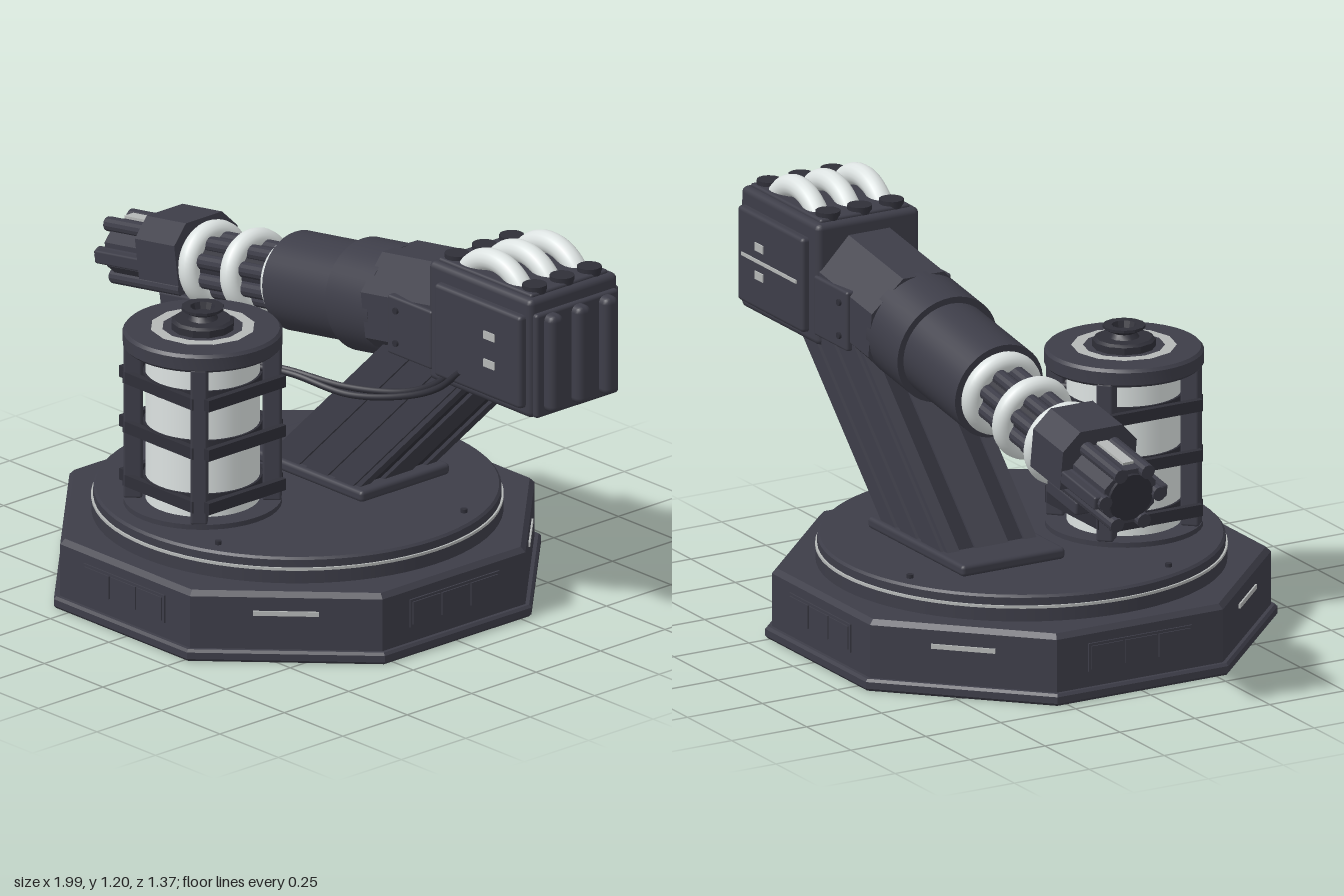
import * as THREE from 'three';
import { toCreasedNormals } from 'three/addons/utils/BufferGeometryUtils.js';
import { RoundedBoxGeometry } from 'three/addons/geometries/RoundedBoxGeometry.js';

const material = (name, color) => {
  const m = new THREE.MeshStandardMaterial({ color });
  m.name = name;
  return m;
};

export function createModel() {
  const steel = material('gunmetal', 0x3d3d48);
  const dark = material('dark metal', 0x2f2f38);
  const white = material('white ceramic', 0xdce2e1);
  const light = material('pale strip', 0xb4b7b6);
  const root = new THREE.Group();
  root.name = 'turret';

  // helpers
  const add = (parent, name, geo, mat, x = 0, y = 0, z = 0) => {
    const m = new THREE.Mesh(geo, mat);
    m.name = name;
    m.position.set(x, y, z);
    parent.add(m);
    return m;
  };
  const group = (name, x, y, z, parent = root) => {
    const g = new THREE.Group();
    g.name = name;
    g.position.set(x, y, z);
    parent.add(g);
    return g;
  };
  const box = (w, h, d) => new THREE.BoxGeometry(w, h, d);
  const rbox = (w, h, d, r = 0.012) => new RoundedBoxGeometry(w, h, d, 2, r);
  const cyl = (r, h, n = 40, r2 = r) => new THREE.CylinderGeometry(r2, r, h, n);
  const lathe = (pts, n, phi = 0) => toCreasedNormals(
    new THREE.LatheGeometry(pts.map(p => new THREE.Vector2(...p)), n, phi), 0.5);
  // prism along x from a to b
  const tubeX = (r, a, b, n = 40, turn = 0) =>
    toCreasedNormals(cyl(r, b - a, n).rotateY(turn), 0.5).rotateZ(Math.PI / 2).translate((a + b) / 2, 0, 0);

  // octagonal base
  const base = group('base', -0.02, 0, 0);
  const k = 1 / Math.cos(Math.PI / 8);
  add(base, 'octagonBody', lathe([[0, 0], [0.68 * k, 0], [0.687 * k, 0.008], [0.687 * k, 0.028], [0.68 * k, 0.036],
    [0.669 * k, 0.036], [0.669 * k, 0.195], [0.655 * k, 0.21], [0, 0.21]], 8, Math.PI / 8), steel);
  for (let i = 0; i < 8; i++) {
    const side = group('baseSide', 0, 0, 0, base);
    side.rotation.y = i * Math.PI / 4;
    if (i % 2) {
      add(side, 'lightBar', box(0.19, 0.014, 0.008), light, 0, 0.147, 0.67);
    } else {
      add(side, 'panelFrame', box(0.345, 0.085, 0.012), steel, 0, 0.125, 0.668);
      for (const x of [-0.112, 0, 0.112]) add(side, 'panelCell', box(0.105, 0.07, 0.008), steel, x, 0.125, 0.674);
    }
  }

  // turntable
  add(base, 'turntableLower', cyl(0.592, 0.04, 72), steel, 0, 0.23, 0);
  add(base, 'turntableStripe', cyl(0.593, 0.008, 72), light, 0, 0.253, 0);
  add(base, 'turntableUpper', lathe([[0.587, 0.257], [0.587, 0.28], [0.58, 0.287], [0, 0.287]], 72), steel);
  for (let i = 0; i < 4; i++) {
    const a = -0.39 + i * Math.PI / 2;
    add(base, 'bolt', cyl(0.01, 0.012, 12), dark, 0.53 * Math.cos(a), 0.292, 0.53 * Math.sin(a));
  }

  // energy canister
  const can = group('canister', -0.1, 0, 0.295);
  add(can, 'canisterFoot', cyl(0.228, 0.016), steel, 0, 0.294, 0);
  add(can, 'glassCore', cyl(0.165, 0.48), white, 0, 0.54, 0);
  for (const y of [0.355, 0.52, 0.672]) {
    add(can, 'band', cyl(0.172, 0.04), dark, 0, y, 0);
    for (const s of [-1, 1]) {
      add(can, 'bandClip', box(0.02, 0.035, 0.3), dark, s * 0.182, y, 0);
      add(can, 'bandClip', box(0.3, 0.035, 0.02), dark, 0, y, s * 0.165);
    }
  }
  for (let i = 0; i < 4; i++) {
    const a = Math.PI / 4 + i * Math.PI / 2;
    add(can, 'post', rbox(0.055, 0.48, 0.05, 0.008), steel, 0.2 * Math.cos(a), 0.54, 0.2 * Math.sin(a)).rotation.y = -a;
  }
  add(can, 'cap', lathe([[0, 0.77], [0.222, 0.77], [0.23, 0.778], [0.23, 0.815], [0.222, 0.824], [0, 0.824]], 40), steel);
  add(can, 'capRing', new THREE.RingGeometry(0.118, 0.152, 12).rotateX(-Math.PI / 2), light, 0, 0.827, 0);
  add(can, 'capNozzle', lathe([[0.092, 0.824], [0.092, 0.845], [0.082, 0.852], [0.045, 0.852], [0.035, 0.866],
    [0.062, 0.88], [0.062, 0.888], [0.036, 0.888], [0.03, 0.868], [0, 0.868]], 12), dark);

  // slanted support arm
  const arm = group('arm', 0, 0, -0.195);
  add(arm, 'armFoot', rbox(0.54, 0.035, 0.345), steel, -0.04, 0.308, 0);
  const slab = (a, b, z0, z1, name, mat) => {
    const s = new THREE.Shape([[a, 0.31], [b, 0.31], [b + 0.52, 0.82], [a + 0.52, 0.82]].map(p => new THREE.Vector2(...p)));
    add(arm, name, new THREE.ExtrudeGeometry(s, { depth: z1 - z0, bevelEnabled: false }), mat, 0, 0, z0);
  };
  slab(-0.19, 0.165, -0.14, 0.14, 'armCore', dark);
  slab(-0.2, 0.18, -0.055, 0.055, 'armSpine', steel);
  for (const s of [-1, 1]) {
    const z = s > 0 ? 0.108 : -0.148;
    slab(-0.2, 0.18, z, z + 0.04, 'armFlank', steel);
    for (const [a, b] of [[-0.18, -0.07], [-0.04, 0.05], [0.08, 0.16]]) {
      const zs = s > 0 ? 0.147 : -0.158;
      slab(a, b, zs, zs + 0.011, 'armRib', steel);
    }
  }

  // rear power head
  const head = group('head', 0.73, 0.94, -0.195);
  add(head, 'headBody', rbox(0.44, 0.365, 0.342, 0.018), steel);
  add(head, 'headLid', rbox(0.4, 0.02, 0.3, 0.008), steel, 0, 0.182, 0);
  for (const s of [-1, 1]) {
    add(head, 'sidePlate', rbox(0.37, 0.285, 0.05), steel, 0.015, -0.01, s * 0.169);
    for (const y of [0.038, -0.048])
      add(head, 'sideLight', box(0.045, 0.024, 0.008), light, 0.07, y, s * 0.194);
  }
  add(head, 'sideLightLine', box(0.31, 0.01, 0.008), light, 0.015, -0.005, -0.194);
  add(head, 'rearPlate', rbox(0.03, 0.32, 0.32, 0.01), steel, 0.22, -0.02, 0);
  for (const z of [-0.106, 0, 0.106]) {
    add(head, 'rearRib', rbox(0.07, 0.3, 0.052, 0.02), steel, 0.235, -0.015, z);
    add(head, 'coolingArc', new THREE.TorusGeometry(0.145, 0.033, 16, 40, Math.PI), white, 0, 0.083, z);
    for (const x of [-0.166, 0.166]) add(head, 'arcCollar', cyl(0.036, 0.03, 16), dark, x, 0.19, z);
  }

  // tilted gun, local x runs from muzzle to head
  const gun = group('gun', -0.98, 0.69, -0.195);
  gun.rotation.z = 0.148;
  add(gun, 'housingBlock', tubeX(0.178, 1.22, 1.56, 8, Math.PI / 8), steel);
  add(gun, 'housingDrum', tubeX(0.166, 1.06, 1.24), steel);
  add(gun, 'rearBarrel', tubeX(0.146, 0.765, 1.08), steel);
  add(gun, 'barrelCore', tubeX(0.072, 0.01, 0.8, 24), dark);
  for (let i = 0; i < 8; i++) {
    const a = (i + 0.5) * Math.PI / 4;
    add(gun, 'barrelRod', tubeX(0.023, 0.3, 0.78, 12), steel, 0, 0.076 * Math.cos(a), 0.076 * Math.sin(a));
  }
  for (const x of [0.395, 0.575, 0.75])
    add(gun, 'coilRing', new THREE.TorusGeometry(0.098, 0.031, 16, 48).rotateY(Math.PI / 2), white, x);

  // muzzle
  add(gun, 'muzzleSleeve', tubeX(0.092, 0.02, 0.36, 8, Math.PI / 8), steel);
  add(gun, 'muzzleBore', tubeX(0.045, 0.01, 0.024, 24), dark);
  for (let i = 0; i < 6; i++) {
    const a = (i + 0.5) * Math.PI / 3;
    add(gun, 'muzzleProng', tubeX(0.022, 0, 0.3, 12), steel, 0, 0.09 * Math.cos(a), 0.09 * Math.sin(a));
  }
  for (const s of [-1, 1]) add(gun, 'muzzleRail', rbox(0.34, 0.04, 0.035, 0.006), steel, 0.18, 0, s * 0.105);
  add(gun, 'muzzleStrip', box(0.15, 0.008, 0.036), light, 0.115, 0.096, 0);
  const cover = new THREE.Shape([[-0.123, -0.04], [0.123, -0.04], [0.123, 0.08], [0.07, 0.135], [-0.07, 0.135],
    [-0.123, 0.08]].map(p => new THREE.Vector2(...p)));
  add(gun, 'muzzleCover', new THREE.ExtrudeGeometry(cover, { depth: 0.17, bevelEnabled: false }).rotateY(Math.PI / 2), steel, 0.2);
  add(gun, 'muzzleKeel', rbox(0.17, 0.045, 0.12, 0.008), steel, 0.29, -0.115, 0);

  // bolted cheek plates beside the housing
  for (const s of [-1, 1]) {
    add(root, 'cheekPlate', rbox(0.19, 0.18, 0.03, 0.008), steel, 0.435, 0.88, -0.195 + s * 0.16);
    for (const y of [0.83, 0.93])
      add(root, 'cheekBolt', cyl(0.01, 0.01, 12).rotateX(Math.PI / 2), dark, 0.38, y, -0.195 + s * 0.177);
  }

  // cables from canister to head
  for (const d of [0, 0.03]) {
    const path = new THREE.CatmullRomCurve3([[-0.02, 0.7, 0.16], [0.06, 0.69, 0.11], [0.25, 0.68 - d * 0.4, 0.06],
      [0.44, 0.705, 0.01], [0.56, 0.76, -0.01], [0.64, 0.83, -0.02]]
      .map(([x, y, z]) => new THREE.Vector3(x + d, y, z + d * 0.5)));
    add(root, 'cable', new THREE.TubeGeometry(path, 40, 0.01, 8), dark);
  }
  return root;
}
